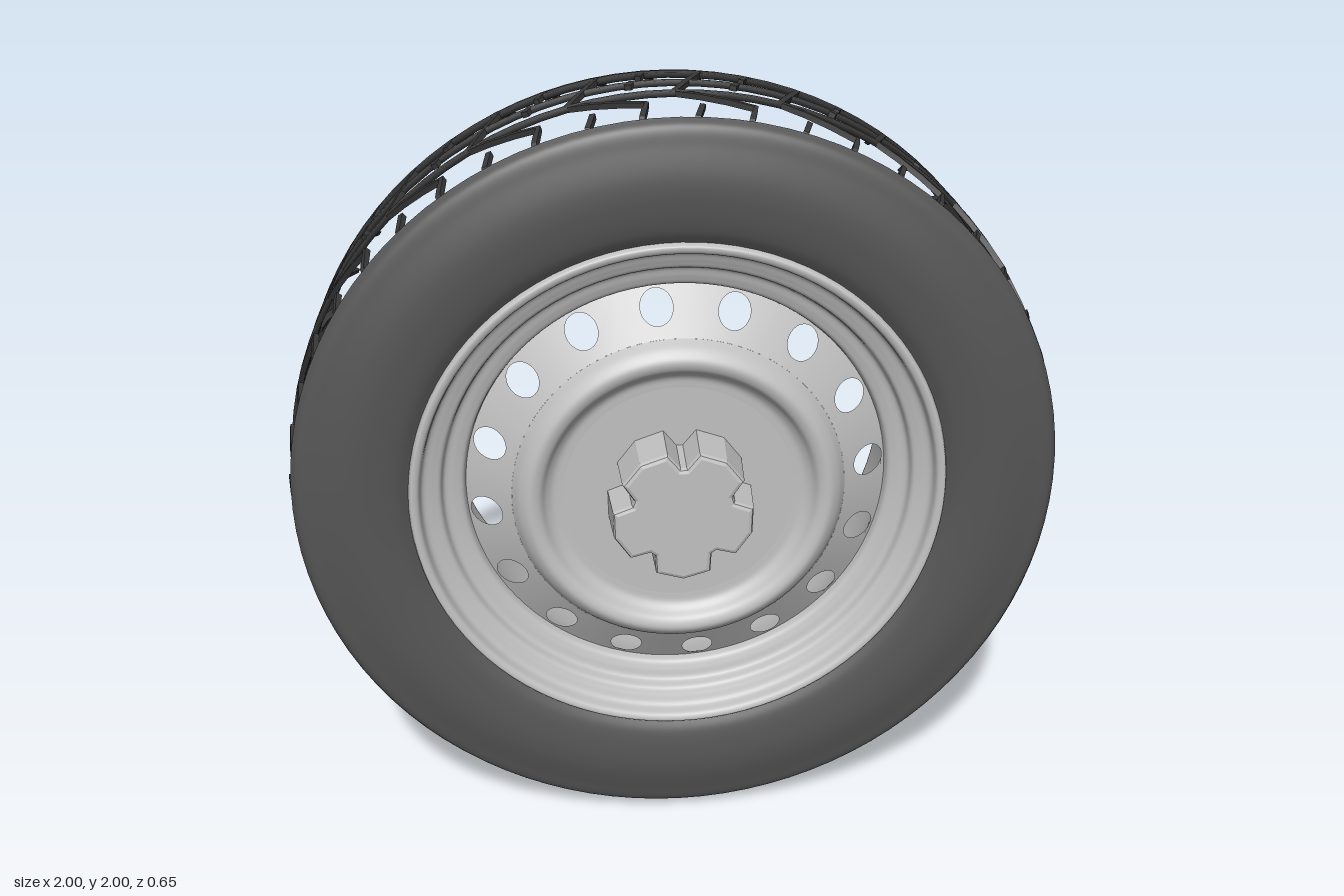
import * as THREE from 'three';
import { mergeGeometries } from 'three/addons/utils/BufferGeometryUtils.js';

const mat = (name, color) => {
  const m = new THREE.MeshStandardMaterial({ color, side: THREE.DoubleSide });
  m.name = name;
  return m;
};

// Lathe around the z axis from [radius, z] points
function ring(points, segments = 96) {
  const g = new THREE.LatheGeometry(points.map(([r, z]) => new THREE.Vector2(r, z)), segments);
  return g.rotateX(Math.PI / 2);
}

// Smooth a profile with a curve before turning it
function smoothRing(points, steps = 40) {
  const curve = new THREE.CatmullRomCurve3(points.map(([r, z]) => new THREE.Vector3(r, z, 0)), false, 'centripetal');
  return ring(curve.getPoints(steps).map(p => [p.x, p.y]));
}

// Radius of the tread surface at depth z
const PROFILE = [[-0.33, 0.95], [-0.3, 0.965], [-0.25, 0.985], [-0.19, 0.995], [0, 1], [0.12, 0.997], [0.2, 0.982], [0.24, 0.93]];
function treadRadius(z) {
  for (let i = 1; i < PROFILE.length; i++) {
    const [z0, r0] = PROFILE[i - 1], [z1, r1] = PROFILE[i];
    if (z <= z1) return r0 + (r1 - r0) * (z - z0) / (z1 - z0);
  }
  return 0.93;
}

// Thin bar that follows the tread along [z, angle] points
function treadBar(path, width, depth = 0.014) {
  const pts = [];
  path.forEach((p, i) => {
    if (!i) return pts.push(p);
    const q = path[i - 1];
    for (let k = 1; k <= 3; k++) pts.push([q[0] + (p[0] - q[0]) * k / 3, q[1] + (p[1] - q[1]) * k / 3]);
  });
  const pos = [], index = [];
  pts.forEach(([z, a], i) => {
    const p = pts[Math.max(i - 1, 0)], n = pts[Math.min(i + 1, pts.length - 1)];
    const dz = n[0] - p[0], da = n[1] - p[1], len = Math.hypot(dz, da);
    const oz = -da / len * width / 2, oa = dz / len * width / 2;
    for (const [s, drop] of [[1, 0], [-1, 0], [-1, depth], [1, depth]]) {
      const zz = z + s * oz, aa = a + s * oa, r = treadRadius(zz) - drop;
      pos.push(r * Math.cos(aa), r * Math.sin(aa), zz);
    }
    if (i) {
      const b = i * 4;
      for (let k = 0; k < 4; k++) {
        const m = (k + 1) % 4;
        index.push(b - 4 + k, b + m, b + k, b - 4 + k, b - 4 + m, b + m);
      }
    }
  });
  const e = pos.length / 3 - 4;
  index.push(0, 2, 1, 0, 3, 2, e, e + 1, e + 2, e, e + 2, e + 3);
  const g = new THREE.BufferGeometry();
  g.setAttribute('position', new THREE.Float32BufferAttribute(pos, 3));
  g.setIndex(index);
  const flat = g.toNonIndexed();
  flat.computeVertexNormals();
  return flat;
}

export function createModel() {
  const wheel = new THREE.Group();
  wheel.name = 'wheel';
  wheel.position.y = 1;
  const rubber = mat('tyre rubber', 0x555555);
  const groove = mat('dark groove rubber', 0x383838);
  const steel = mat('rim steel', 0xc0c0c0);
  const add = (name, geometry, material) => {
    const m = new THREE.Mesh(geometry, material);
    m.name = name;
    wheel.add(m);
  };

  // Tyre: front sidewall and back shoulder, with the tread left open between them
  add('frontSidewall', smoothRing([[0.685, 0.225], [0.72, 0.243], [0.79, 0.254], [0.85, 0.252], [0.92, 0.236], [0.965, 0.222], [0.982, 0.2]]), rubber);
  add('backShoulder', ring([[0.962, -0.305], [0.985, -0.25], [0.995, -0.19]]), rubber);

  // Grooves running around the tread
  const hoops = [[0.022, 0.018], [-0.09, 0.016], [-0.192, 0.024]].map(([z, w]) => {
    const r = treadRadius(z), a = z - w / 2, b = z + w / 2;
    return ring([[r, a], [r, b], [r - 0.014, b], [r - 0.014, a], [r, a]]);
  });
  add('treadHoops', mergeGeometries(hoops), groove);

  // Grooves running across the tread
  const bars = [];
  const N = 24, pitch = Math.PI * 2 / N;
  for (let i = 0; i < N; i++) {
    const a = i * pitch;
    const at = pts => pts.map(([z, t]) => [z, a + t]);
    // Long zigzag from the front shoulder to the back shoulder
    bars.push(treadBar(at([[0.225, -0.165], [0.11, -0.19], [0.022, 0]]), 0.014));
    bars.push(treadBar(at([[0.022, 0], [-0.192, -0.08]]), 0.015));
    // Short front groove between the zigzags
    bars.push(treadBar(at([[0.225, -0.035], [0.13, -0.06]]), 0.014));
    // Short cuts beside the middle hoops
    bars.push(treadBar(at([[-0.065, -0.155], [-0.105, -0.17]]), 0.018));
    bars.push(treadBar(at([[-0.15, -0.185], [-0.192, -0.2]]), 0.015));
    // Back shoulder grooves, twice as many
    for (const t of [0, pitch / 2]) bars.push(treadBar(at([[-0.192, t - 0.08], [-0.322, t - 0.1]]), 0.013, 0.02));
  }
  add('treadGrooves', mergeGeometries(bars), groove);

  // Rim barrel: straight outside and rolled flanges inside
  add('rimBarrel', ring([[0.69, -0.328], [0.69, 0.225]]), steel);
  add('frontFlange', smoothRing([[0.69, 0.225], [0.682, 0.243], [0.665, 0.238], [0.655, 0.208], [0.63, 0.195], [0.612, 0.185],
    [0.602, 0.16], [0.575, 0.15], [0.555, 0.14], [0.548, 0.12]], 48), steel);
  add('backFlange', smoothRing([[0.548, 0.12], [0.575, 0.02], [0.598, -0.2], [0.605, -0.245], [0.622, -0.26], [0.635, -0.29],
    [0.66, -0.3], [0.672, -0.328], [0.69, -0.328]], 48), steel);

  // Sloped ring built from sixteen sectors, each with a round hole
  const R_IN = 0.43, R_OUT = 0.548, HALF = Math.PI / 16;
  const slope = 0.075 / (R_OUT - R_IN), len = Math.hypot(1, slope);
  const sectors = [];
  for (let i = 0; i < 16; i++) {
    const a = 0.107 + i * HALF * 2;
    const s = new THREE.Shape();
    s.absarc(0, 0, R_OUT, a - HALF, a + HALF, false);
    s.absarc(0, 0, R_IN, a + HALF, a - HALF, true);
    s.holes.push(new THREE.Path().absarc(0.5 * Math.cos(a), 0.5 * Math.sin(a), 0.041, 0, Math.PI * 2, true));
    const g = new THREE.ShapeGeometry(s, 20);
    const p = g.attributes.position, n = g.attributes.normal;
    for (let k = 0; k < p.count; k++) {
      const x = p.getX(k), y = p.getY(k), r = Math.hypot(x, y);
      p.setZ(k, 0.195 - (r - R_IN) * slope);
      n.setXYZ(k, x / r * slope / len, y / r * slope / len, 1 / len);
    }
    sectors.push(g);
  }
  add('ventRing', mergeGeometries(sectors), steel);

  // Raised ridge and dished centre
  add('discRidge', smoothRing([[R_IN, 0.195], [0.41, 0.225], [0.385, 0.242], [0.36, 0.235], [0.342, 0.212], [0.325, 0.2], [0.3, 0.197]], 32), steel);
  add('discCentre', new THREE.RingGeometry(0.07, 0.302, 72, 1).translate(0, 0, 0.197), steel);

  // Five-lobed hub cap, narrowing a little towards its face
  const LOBE = [[-0.52, 0.14], [-0.36, 0.185], [0, 0.192], [0.36, 0.185], [0.52, 0.14]];
  const star = inset => {
    const pts = [];
    for (let i = 0; i < 5; i++) {
      const a = -Math.PI / 2 + i * Math.PI * 0.4;
      for (const [t, r] of LOBE) pts.push(new THREE.Vector2((r - inset) * Math.cos(a + t), (r - inset) * Math.sin(a + t)));
    }
    return new THREE.Shape(pts);
  };
  const cap = new THREE.ExtrudeGeometry(star(0.012), { depth: 0.118, bevelEnabled: true, bevelSize: 0.012, bevelThickness: 0.012, bevelSegments: 2 });
  const cp = cap.attributes.position;
  for (let i = 0; i < cp.count; i++) {
    const k = 1 - 0.35 * Math.max(cp.getZ(i), 0);
    cp.setXY(i, cp.getX(i) * k, cp.getY(i) * k);
  }
  cap.computeVertexNormals();
  add('hubCap', cap.translate(0, 0, 0.195), steel);

  // Back of the cap: shallow star plate and open centre tube
  const plate = new THREE.ExtrudeGeometry(star(0.015), { depth: 0.012, bevelEnabled: false });
  add('capBackPlate', plate.translate(0, 0, 0.184), steel);
  add('centreTube', ring([[0.088, 0.195], [0.088, 0.135], [0.074, 0.135], [0.072, 0.184]], 40), steel);

  return wheel;
}
